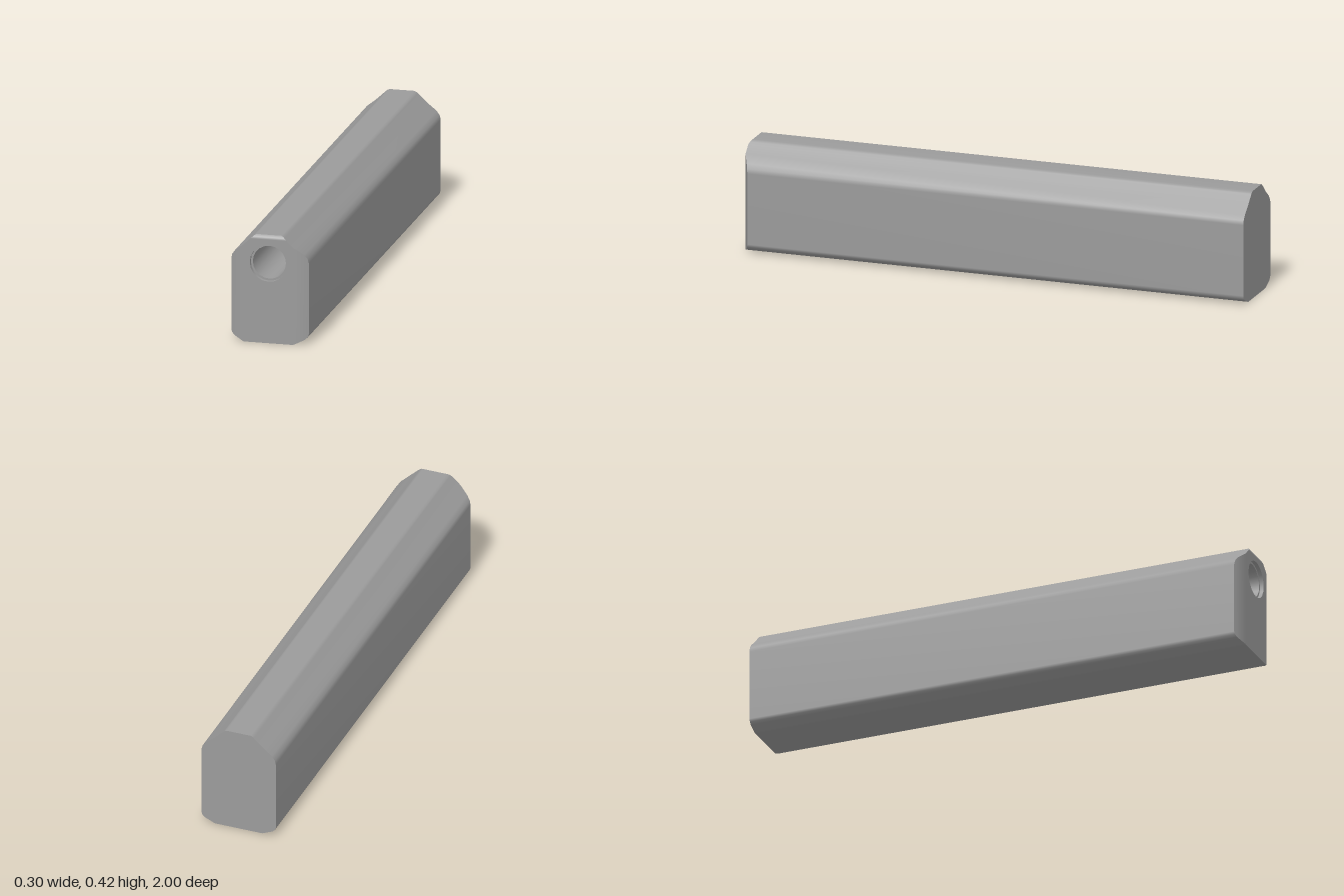
import * as THREE from 'three';

const BORE_Y = 0.312, BORE_R = 0.072, SIDES = 20;
const GREY = 0x9b9b9b;

// Half of the cross-section, from the bottom up
const half = [
  [0.095, 0], [0.1, 0.002], [0.137, 0.018], [0.146, 0.027], [0.15, 0.038],
  [0.15, 0.315], [0.146, 0.332], [0.134, 0.349], [0.1, 0.376],
  [0.07, 0.404], [0.061, 0.412], [0.057, 0.416], [0.048, 0.42],
];
const mirror = (pts) => pts.map(([x, y]) => [-x, y]).reverse();
const outline = [...half, ...mirror(half)];

// The nose is bevelled back at both sides and rounded along the top
const sideInset = (x) => Math.max(0, Math.abs(x) - 0.1);
const topInset = (y) => Math.max(0, y - 0.404);
const noseZ = (x, y) => 1 - sideInset(x) * 0.5 - topInset(y) ** 2 * 42;
const noseNormal = (x, y) =>
  new THREE.Vector3(Math.sign(x) * sideInset(x) * 10, topInset(y) * 84, 1).normalize();

const toShape = (pts) => new THREE.Shape(pts.map(([x, y]) => new THREE.Vector2(x, y)));

export function createModel() {
  const group = new THREE.Group();
  const material = new THREE.MeshStandardMaterial({ color: GREY });
  const boreMaterial = new THREE.MeshStandardMaterial({ color: GREY, side: THREE.DoubleSide });
  const add = (name, geometry, mat = material) => {
    const mesh = new THREE.Mesh(geometry, mat);
    mesh.name = name;
    group.add(mesh);
  };

  // Long outer wall: a flat strip wrapped around the outline
  const loop = [[0, 0], ...outline, [0, 0]];
  const wall = new THREE.PlaneGeometry(1, 1, loop.length - 1, 1);
  const pos = wall.attributes.position;
  for (let i = 0; i < pos.count; i++) {
    const [x, y] = loop[i % loop.length];
    pos.setXYZ(i, x, y, i < loop.length ? noseZ(x, y) : -1);
  }
  wall.computeVertexNormals();
  add('outerWall', wall);

  // Flat rear end
  const rear = new THREE.ShapeGeometry(toShape(outline));
  rear.rotateY(Math.PI).translate(0, 0, -1);
  add('rearFace', rear);

  // Nose: middle face with the bore opening, blending softly into its bevels
  const noseFace = (name, pts, holes = []) => {
    const shape = toShape(pts);
    shape.holes.push(...holes);
    const geometry = new THREE.ShapeGeometry(shape);
    const { position: p, normal } = geometry.attributes;
    for (let i = 0; i < p.count; i++) {
      const x = p.getX(i), y = p.getY(i), n = noseNormal(x, y);
      p.setZ(i, noseZ(x, y));
      normal.setXYZ(i, n.x, n.y, n.z);
    }
    add(name, geometry);
  };
  const opening = new THREE.Path();
  for (let i = 0; i < SIDES; i++) {
    const a = (-i / SIDES) * Math.PI * 2;
    const x = BORE_R * Math.cos(a), y = BORE_Y + BORE_R * Math.sin(a);
    if (i) opening.lineTo(x, y); else opening.moveTo(x, y);
  }
  opening.closePath();
  const side = half.filter(([x]) => x >= 0.1);
  const band = (low, high) => {
    const pts = half.filter(([x, y]) => x <= 0.1 && y >= low && y <= high);
    return [...pts, ...mirror(pts)];
  };
  noseFace('frontFace', band(0, 0.404), [opening]);
  noseFace('leftBevel', side);
  noseFace('rightBevel', mirror(side));
  noseFace('lowerTopBevel', band(0.404, 0.412));
  noseFace('middleTopBevel', band(0.412, 0.416));
  noseFace('upperTopBevel', band(0.416, 0.42));

  // Bore with a shallow stepped mouth and a closed end
  const bore = (name, points) => {
    const geometry = new THREE.LatheGeometry(
      points.map(([r, z]) => new THREE.Vector2(r, z)), SIDES);
    geometry.rotateX(Math.PI / 2).translate(0, BORE_Y, 0);
    add(name, geometry, boreMaterial);
  };
  bore('boreMouth', [[BORE_R, 1], [BORE_R, 0.985]]);
  bore('boreWall', [[0.064, 0.985], [0.064, 0.3]]);

  // Flat ledge and end of the bore, facing forward
  const ringTurn = Math.PI * 2;
  const ledge = new THREE.RingGeometry(0.064, BORE_R, SIDES, 1, 0, ringTurn);
  add('boreLedge', ledge.translate(0, BORE_Y, 0.985));
  add('boreEnd', new THREE.CircleGeometry(0.064, SIDES).translate(0, BORE_Y, 0.3));

  return group;
}
